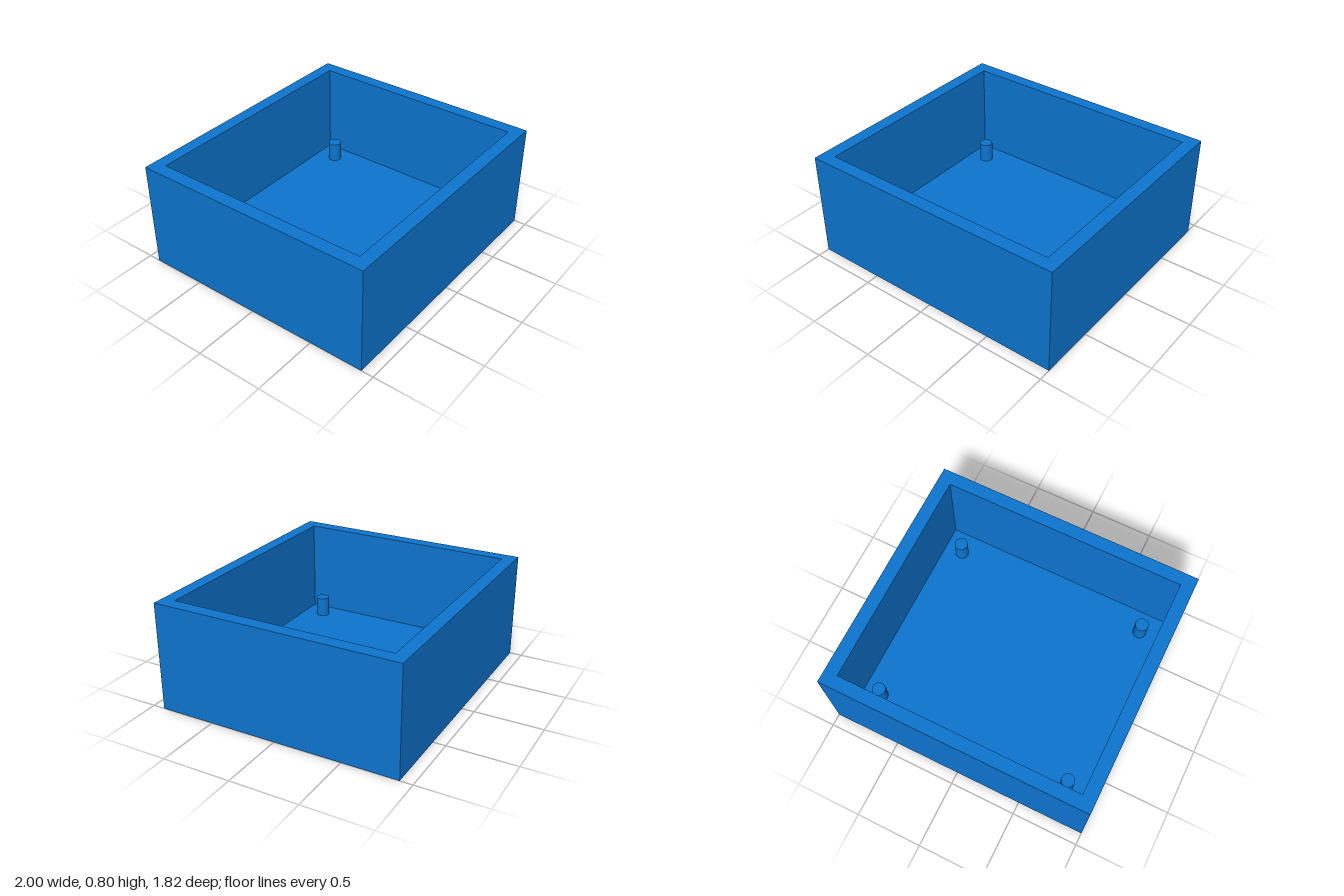
import * as THREE from 'three';

const WIDTH = 2, DEPTH = 1.82, HEIGHT = 0.8;
const INNER_X = 0.902, INNER_Z = 0.814, FLOOR = 0.1;

// Closed rectangle path from half extents
function rectangle(path, hx, hz) {
  path.moveTo(-hx, -hz);
  path.lineTo(hx, -hz);
  path.lineTo(hx, hz);
  path.lineTo(-hx, hz);
  path.closePath();
  return path;
}

// Extrude a plan shape upwards from y to y + height
function upright(shape, y, height) {
  const geometry = new THREE.ExtrudeGeometry(shape, { depth: height, bevelEnabled: false });
  return geometry.rotateX(-Math.PI / 2).translate(0, y, 0);
}

export function createModel() {
  const group = new THREE.Group();
  group.name = 'openBox';
  const blue = new THREE.MeshStandardMaterial({ color: 0x0d74ce });
  blue.name = 'blue';

  const add = (name, geometry, x = 0, y = 0, z = 0) => {
    const mesh = new THREE.Mesh(geometry, blue);
    mesh.name = name;
    mesh.position.set(x, y, z);
    group.add(mesh);
  };

  // Four walls in one ring, running the full height
  const ring = rectangle(new THREE.Shape(), WIDTH / 2, DEPTH / 2);
  ring.holes.push(rectangle(new THREE.Path(), INNER_X, INNER_Z));
  add('walls', upright(ring, 0, HEIGHT));

  // Floor plate filling the ring
  add('floor', new THREE.BoxGeometry(2 * INNER_X, FLOOR, 2 * INNER_Z), 0, FLOOR / 2, 0);

  // Mounting pegs near the inner corners
  const pegHeight = 0.15;
  const peg = new THREE.CylinderGeometry(0.05, 0.05, pegHeight, 40);
  for (const x of [-0.762, 0.762]) {
    for (const z of [-0.656, 0.656]) add('mountingPeg', peg, x, FLOOR + pegHeight / 2, z);
  }

  return group;
}
